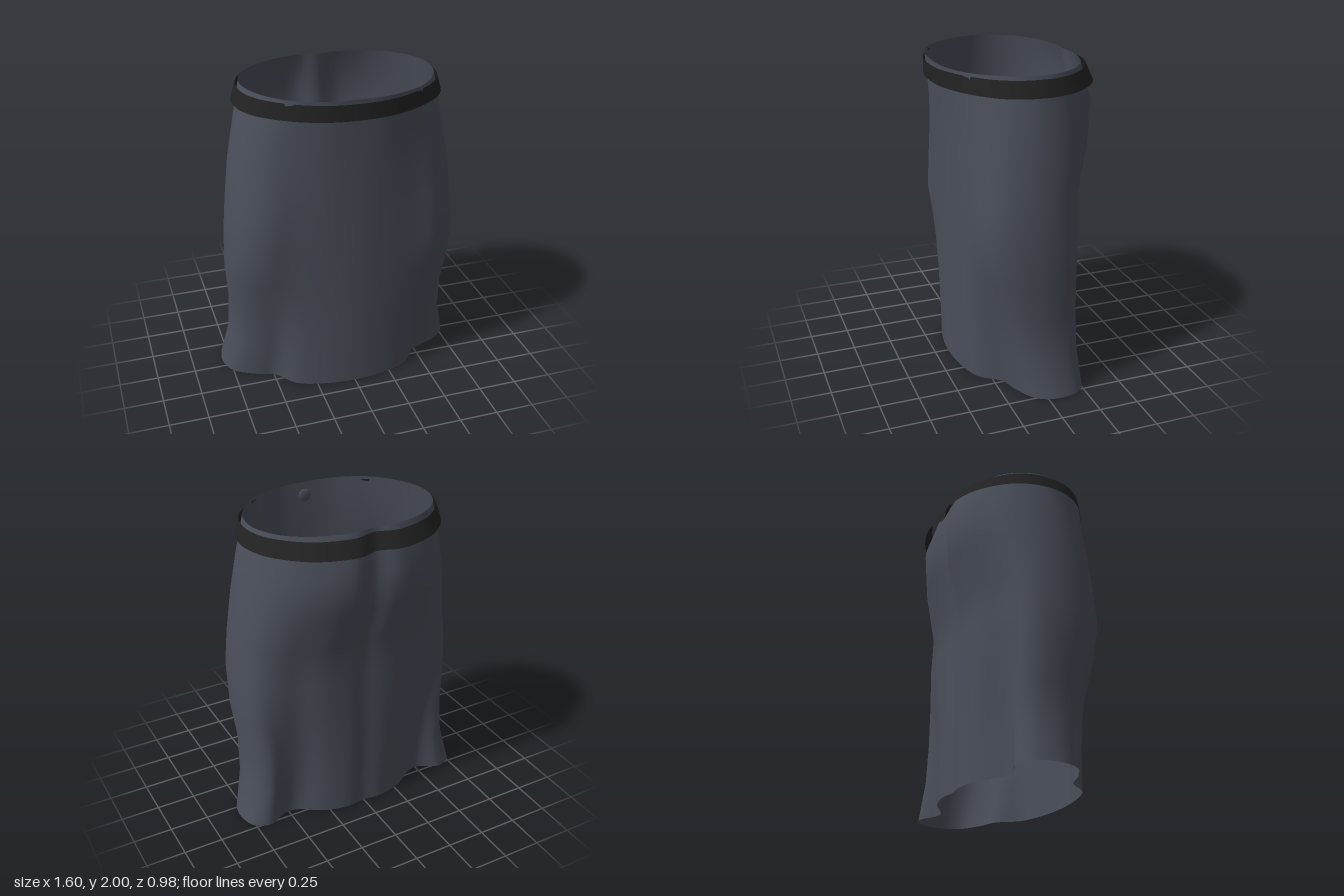
import * as THREE from 'three';

// Half cross-sections as [x, z], from front centre round the left side to back centre
const HEM = [[0, .41], [.2, .39], [.38, .33], [.49, .2], [.62, .15], [.75, .07], [.8, -.06],
  [.77, -.21], [.66, -.27], [.53, -.21], [.43, -.22], [.29, -.31], [.13, -.35], [0, -.34]];
const THIGH = [[0, .425], [.2, .41], [.4, .38], [.55, .365], [.66, .3], [.72, .2], [.745, .05],
  [.73, -.1], [.68, -.2], [.58, -.26], [.45, -.29], [.3, -.34], [.13, -.355], [0, -.345]];
const SEAT = [[0, .45], [.17, .44], [.33, .395], [.48, .33], [.58, .24], [.63, .14], [.65, .02],
  [.63, -.11], [.58, -.22], [.5, -.32], [.38, -.41], [.25, -.465], [.13, -.48], [0, -.43]];
const WAIST = [[0, .47], [.15, .465], [.28, .43], [.4, .37], [.5, .27], [.57, .15], [.6, .02],
  [.585, -.1], [.53, -.21], [.45, -.29], [.34, -.355], [.22, -.39], [.11, -.405], [0, -.395]];
const BELT = [[0, .49], [.17, .475], [.33, .42], [.47, .335], [.57, .24], [.63, .13], [.65, .0],
  [.635, -.11], [.59, -.22], [.51, -.32], [.4, -.41], [.27, -.465], [.13, -.488], [0, -.45]];

const SEGMENTS = 104;

// Blend two half sections, then fit them to a half-width, front depth and back depth
function blend(a, b, t, width, front, back) {
  const mix = a.map((p, i) => [p[0] + (b[i][0] - p[0]) * t, p[1] + (b[i][1] - p[1]) * t]);
  const w = Math.max(...mix.map(p => p[0]));
  const f = Math.max(...mix.map(p => p[1]));
  const k = -Math.min(...mix.map(p => p[1]));
  return mix.map(([x, z]) => [x * width / w, z > 0 ? z * front / f : z * back / k]);
}

// Mirror a half section into a smooth closed ring at height y
function ring(half, y) {
  const other = half.slice(1, -1).reverse().map(([x, z]) => [-x, z]);
  const points = [...half, ...other].map(([x, z]) => new THREE.Vector3(x, y, z));
  const curve = new THREE.CatmullRomCurve3(points, true, 'catmullrom', 0.5);
  return Array.from({ length: SEGMENTS }, (_, i) => curve.getPoint(i / SEGMENTS));
}

// Join rings, lowest first, into an open sleeve
function loft(rings) {
  const positions = rings.flat().flatMap(p => [p.x, p.y, p.z]);
  const index = [];
  for (let j = 0; j < rings.length - 1; j++) {
    for (let i = 0; i < SEGMENTS; i++) {
      const n = (i + 1) % SEGMENTS;
      const a = j * SEGMENTS + i, b = j * SEGMENTS + n;
      const c = b + SEGMENTS, d = a + SEGMENTS;
      index.push(a, b, c, a, c, d);
    }
  }
  const geometry = new THREE.BufferGeometry();
  geometry.setAttribute('position', new THREE.Float32BufferAttribute(positions, 3));
  geometry.setIndex(index);
  geometry.computeVertexNormals();
  return geometry;
}

export function createModel() {
  const cloth = new THREE.MeshStandardMaterial({ color: 0x4a4f5a, side: THREE.DoubleSide });
  cloth.name = 'slate cloth';
  const leather = new THREE.MeshStandardMaterial({ color: 0x232323, side: THREE.DoubleSide });
  leather.name = 'black leather';

  const group = new THREE.Group();
  group.name = 'skirt';
  const add = (name, geometry, material) => {
    const mesh = new THREE.Mesh(geometry, material);
    mesh.name = name;
    group.add(mesh);
    return mesh;
  };

  // Skirt body: height, two sections, blend, half-width, front, back
  const rows = [
    [0, HEM, THIGH, 0, .8, .41, .35],
    [.25, HEM, THIGH, .3, .74, .413, .35],
    [.5, HEM, THIGH, .5, .73, .417, .352],
    [.75, HEM, THIGH, .8, .75, .42, .353],
    [1, THIGH, SEAT, 0, .745, .425, .355],
    [1.25, THIGH, SEAT, .3, .725, .433, .36],
    [1.5, THIGH, SEAT, .65, .695, .44, .45],
    [1.75, SEAT, WAIST, 0, .65, .45, .48],
    [2, SEAT, WAIST, 1, .6, .47, .405],
  ];
  add('skirtBody', loft(rows.map(([y, ...fit]) => ring(blend(...fit), y))), cloth);

  // Belt: an open band that leans inward towards the top
  add('belt', loft([
    ring(BELT, 1.88),
    ring(blend(BELT, BELT, 0, .62, .49, .44), 1.98),
  ]), leather);

  // Waist button, half hidden by the belt
  const button = add('button', new THREE.SphereGeometry(1, 20, 12), cloth);
  button.scale.set(.045, .045, .012);
  button.position.set(0, 1.91, .465);

  return group;
}
